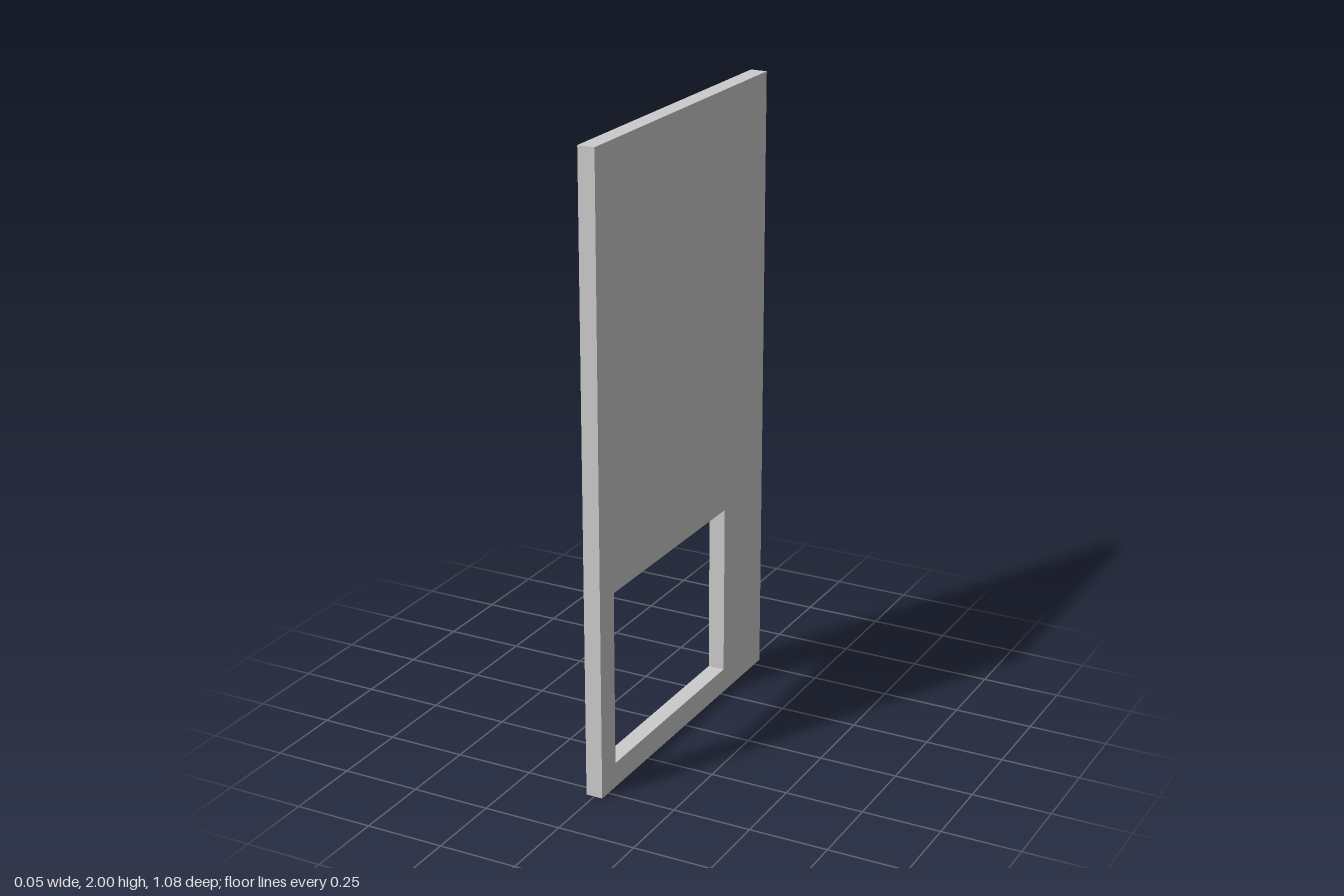
import * as THREE from 'three';

const THICKNESS = 0.054;
const HALF_WIDTH = 0.538;
const HEIGHT = 2;

// Corner points of a rectangle in the panel plane (z, y)
const rect = (z0, y0, z1, y1) =>
  [[z0, y0], [z1, y0], [z1, y1], [z0, y1]].map(([z, y]) => new THREE.Vector2(z, y));

export function createModel() {
  const group = new THREE.Group();
  group.name = 'wallPanel';

  // Upright panel with a rectangular opening near the bottom
  const outline = new THREE.Shape(rect(-HALF_WIDTH, 0, HALF_WIDTH, HEIGHT));
  outline.holes.push(new THREE.Path(rect(-0.27, 0.08, 0.455, 0.64)));

  const geometry = new THREE.ExtrudeGeometry(outline, { depth: THICKNESS, bevelEnabled: false });
  geometry.translate(0, 0, -THICKNESS / 2);
  geometry.rotateY(-Math.PI / 2); // shape x becomes world z

  const panel = new THREE.Mesh(geometry, new THREE.MeshStandardMaterial({ color: 0xcccccc }));
  panel.name = 'panelWithOpening';
  group.add(panel);
  return group;
}
